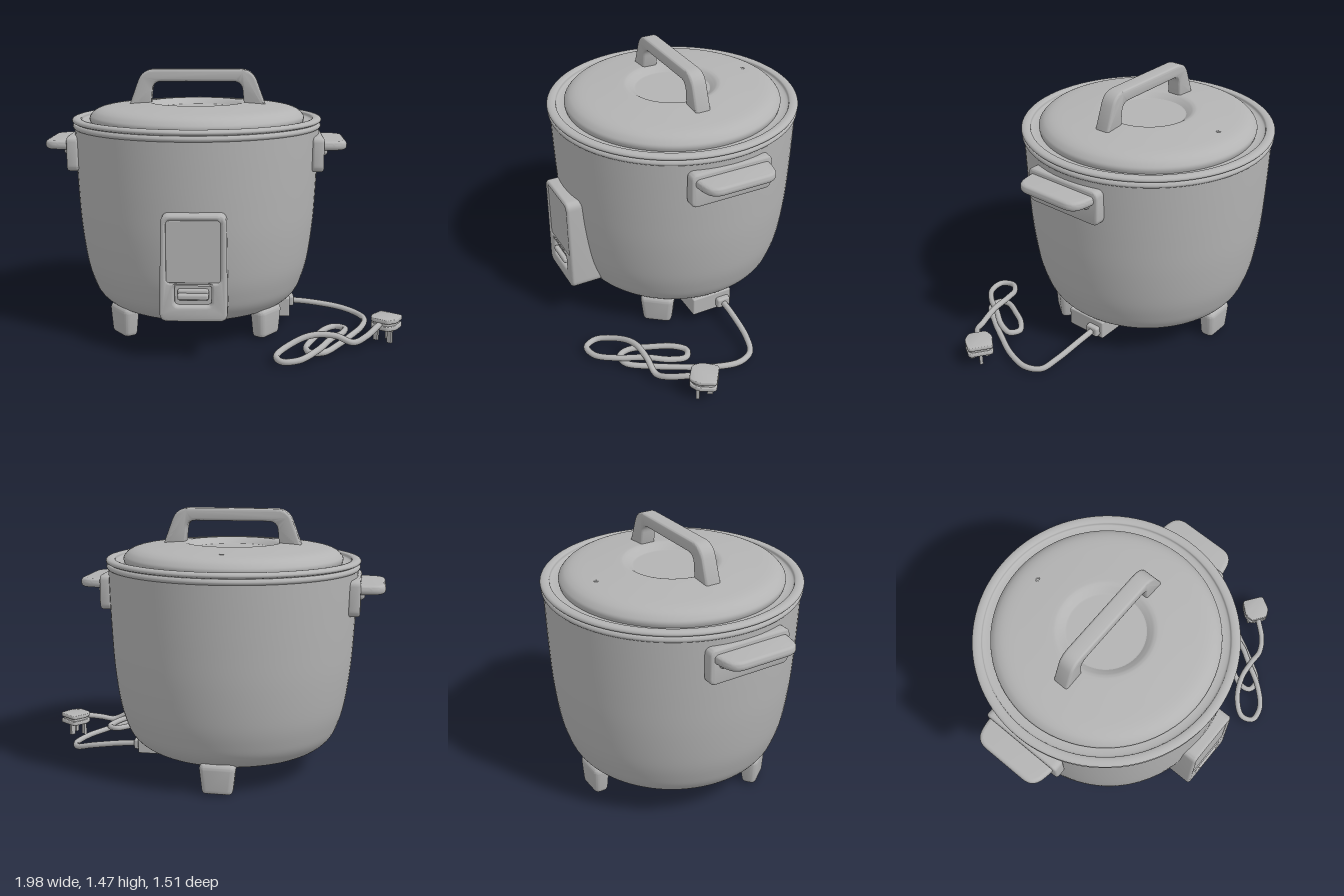
import * as THREE from 'three';
import { RoundedBoxGeometry } from 'three/addons/geometries/RoundedBoxGeometry.js';
import { toCreasedNormals } from 'three/addons/utils/BufferGeometryUtils.js';

const CX = -0.16, CZ = -0.055; // pot axis
const grey = new THREE.MeshStandardMaterial({ color: 0xb3b3b3 });
grey.name = 'plain grey';

function add(parent, name, geo, x = 0, y = 0, z = 0) {
  const m = new THREE.Mesh(geo, grey);
  m.name = name;
  m.position.set(x, y, z);
  parent.add(m);
  return m;
}

const box = (w, h, d, r) => new RoundedBoxGeometry(w, h, d, 3, r);
const v2 = (pts) => pts.map(([x, y]) => new THREE.Vector2(x, y));

// Revolved part with a smooth profile running from bottom to top
function lathe(pts, steps) {
  const p = new THREE.SplineCurve(v2(pts)).getPoints(steps);
  p.forEach((q) => { q.x = Math.max(0, q.x); });
  return new THREE.LatheGeometry(p, 96);
}

// Closed outline with rounded corners; each point is [x, y, radius]
function rounded(pts, Type = THREE.Shape) {
  const s = new Type(), n = pts.length;
  pts.forEach(([x, y, r], i) => {
    const c = new THREE.Vector2(x, y);
    const toward = ([px, py]) => new THREE.Vector2(px - x, py - y).normalize().multiplyScalar(r).add(c);
    const a = toward(pts[(i + n - 1) % n]), b = toward(pts[(i + 1) % n]);
    if (i) s.lineTo(a.x, a.y); else s.moveTo(a.x, a.y);
    s.quadraticCurveTo(x, y, b.x, b.y);
  });
  s.closePath();
  return s;
}
const rect = (x0, y0, x1, y1, r, Type) =>
  rounded([[x0, y0, r], [x1, y0, r], [x1, y1, r], [x0, y1, r]], Type);

// Bevelled extrusion whose overall depth is d, starting at z = 0
function extrude(shape, d, bevel) {
  const g = new THREE.ExtrudeGeometry(shape, {
    depth: d - 2 * bevel, bevelThickness: bevel, bevelSize: bevel,
    bevelOffset: -bevel, bevelSegments: 4, curveSegments: 8,
  });
  g.translate(0, 0, bevel);
  return toCreasedNormals(g, 0.6);
}

export function createModel() {
  const model = new THREE.Group();
  model.name = 'riceCooker';

  // Pot, rim and lid
  add(model, 'body', lathe([[0, 0.12], [0.2, 0.121], [0.4, 0.125], [0.47, 0.137], [0.53, 0.168],
    [0.575, 0.215], [0.605, 0.28], [0.638, 0.4], [0.665, 0.6], [0.678, 0.8], [0.686, 1.0], [0.69, 1.15]], 72), CX, 0, CZ);
  add(model, 'rim', lathe([[0.67, 1.14], [0.692, 1.143], [0.7, 1.155], [0.695, 1.168], [0.687, 1.173],
    [0.698, 1.178], [0.703, 1.188], [0.695, 1.199], [0.675, 1.203], [0.655, 1.198], [0.648, 1.182], [0.62, 1.175], [0.58, 1.175]], 72), CX, 0, CZ);
  const lid = new THREE.Group();
  lid.name = 'lid';
  lid.position.set(CX, 0, CZ);
  model.add(lid);
  add(lid, 'lidDome', lathe([[0.6, 1.17], [0.606, 1.195], [0.598, 1.215], [0.57, 1.24], [0.52, 1.257],
    [0.42, 1.269], [0.29, 1.28], [0.255, 1.278], [0.232, 1.265], [0.212, 1.249]], 64));
  add(lid, 'lidRecess', new THREE.LatheGeometry(v2([[0.213, 1.249], [0.205, 1.247], [0, 1.247]]), 64));
  add(lid, 'steamVent', new THREE.TorusGeometry(0.01, 0.004, 8, 20).rotateX(Math.PI / 2), -0.01, 1.263, -0.46);

  // Arched lid handle
  const arch = rounded([[-0.395, 1.235, 0.005], [-0.31, 1.465, 0.07], [0.31, 1.465, 0.07], [0.395, 1.235, 0.005],
    [0.265, 1.235, 0.005], [0.25, 1.397, 0.05], [-0.25, 1.397, 0.05], [-0.265, 1.235, 0.005]]);
  add(model, 'lidHandle', extrude(arch, 0.09, 0.014), CX + 0.005, 0, -0.088);

  // Side handles: wall plate, tapered grip and a thick root under the grip
  for (const side of [1, -1]) {
    const h = new THREE.Group();
    h.name = side > 0 ? 'leftHandle' : 'rightHandle';
    h.position.set(CX, 0, -0.043);
    h.rotation.y = side > 0 ? 0 : Math.PI;
    model.add(h);
    const plate = extrude(rect(-0.238, 0.915, 0.238, 1.11, 0.04), 0.065, 0.014).rotateY(Math.PI / 2);
    add(h, 'handlePlate', plate, 0.642);
    const grip = rounded([[0.6, -0.218, 0.01], [0.72, -0.218, 0.04], [0.838, -0.195, 0.07],
      [0.838, 0.195, 0.07], [0.72, 0.218, 0.04], [0.6, 0.218, 0.01]]);
    add(h, 'handleGrip', extrude(grip, 0.05, 0.02).rotateX(Math.PI / 2), 0, 1.083);
    add(h, 'handleRoot', box(0.08, 0.06, 0.38, 0.025), 0.69, 1.03);
  }

  // Control panel with an inset window and a switch pocket
  const panel = rounded([[-0.318, 0.222, 0.045], [0.033, 0.222, 0.045], [0.026, 0.782, 0.045], [-0.308, 0.782, 0.045]]);
  panel.holes.push(rect(-0.28, 0.43, -0.005, 0.75, 0.025, THREE.Path), rect(-0.24, 0.305, -0.05, 0.415, 0.025, THREE.Path));
  add(model, 'controlPanel', extrude(panel, 0.205, 0.016), 0, 0, 0.477);
  add(model, 'panelWindow', box(0.28, 0.325, 0.06, 0.005), -0.1425, 0.59, 0.646);
  add(model, 'switchPocket', box(0.2, 0.12, 0.06, 0.005), -0.145, 0.36, 0.615);
  add(model, 'switchLever', box(0.16, 0.032, 0.06, 0.012), -0.145, 0.355, 0.66);
  add(model, 'switchPaddle', box(0.16, 0.06, 0.03, 0.012), -0.145, 0.36, 0.65);

  // Three feet, narrowing towards the floor
  [[-0.395, 0.3], [0.395, 0.3], [0, -0.505]].forEach(([x, z]) => {
    const g = new RoundedBoxGeometry(0.2, 0.18, 0.1, 5, 0.035);
    const p = g.attributes.position;
    for (let i = 0; i < p.count; i++) {
      const k = 0.9 + p.getY(i) * 1.1;
      p.setXYZ(i, p.getX(i) * k, Math.max(p.getY(i), -0.075), p.getZ(i) * k);
    }
    const foot = add(model, 'foot', toCreasedNormals(g, 0.7), CX + x, 0.085, CZ + z);
    foot.rotation.y = Math.atan2(x, z);
  });

  // Power inlet under the pot, with the connector at its outer end
  add(model, 'powerInlet', box(0.2, 0.11, 0.245, 0.008), 0.275, 0.11, -0.037);
  add(model, 'cableConnector', box(0.06, 0.06, 0.08, 0.012), 0.375, 0.1, -0.1);

  // Coiled cable
  const path = [[0.36, 0.1, -0.1], [0.5, 0.088, -0.098], [0.68, 0.06, -0.085], [0.77, 0.036, -0.055], [0.808, 0.03, 0.03],
    [0.78, 0.03, 0.17], [0.7, 0.03, 0.33], [0.62, 0.03, 0.47], [0.53, 0.03, 0.59], [0.46, 0.03, 0.59],
    [0.445, 0.035, 0.53], [0.5, 0.05, 0.41], [0.56, 0.06, 0.31], [0.62, 0.06, 0.26], [0.67, 0.06, 0.29],
    [0.65, 0.065, 0.38], [0.58, 0.07, 0.49], [0.5, 0.055, 0.62], [0.4, 0.035, 0.715], [0.31, 0.03, 0.725],
    [0.283, 0.035, 0.66], [0.35, 0.06, 0.57], [0.47, 0.095, 0.51], [0.6, 0.09, 0.495], [0.7, 0.05, 0.488],
    [0.77, 0.07, 0.45], [0.84, 0.1, 0.37], [0.87, 0.105, 0.33]].map((p) => new THREE.Vector3(...p));
  add(model, 'cable', new THREE.TubeGeometry(new THREE.CatmullRomCurve3(path), 220, 0.017, 12));

  // Three-pin plug lying with its pins towards the floor
  const plug = new THREE.Group();
  plug.name = 'plug';
  plug.position.set(0.893, 0, 0.303);
  plug.rotation.y = -0.62;
  model.add(plug);
  const outline = (s) => rounded([[-0.068, -0.075, 0.02], [0.068, -0.075, 0.02], [0.078, 0.02, 0.02],
    [0.05, 0.072, 0.02], [-0.05, 0.072, 0.02], [-0.078, 0.02, 0.02]].map(([x, y, r]) => [x * s, y * s, r]));
  [['plugBase', 1, 0.1, 0.026], ['plugWaist', 0.88, 0.118, 0.035], ['plugCap', 1, 0.138, 0.024]].forEach(([name, s, top, d]) => {
    add(plug, name, extrude(outline(s), d, 0.006).rotateX(Math.PI / 2), 0, top);
  });
  [[-0.042, 0.025, 0.026, 0.018], [0.042, 0.025, 0.026, 0.018], [0, -0.035, 0.018, 0.03]].forEach(([x, z, w, d]) => {
    add(plug, 'plugPin', new THREE.BoxGeometry(w, 0.085, d), x, 0.0425, z);
  });

  return model;
}
